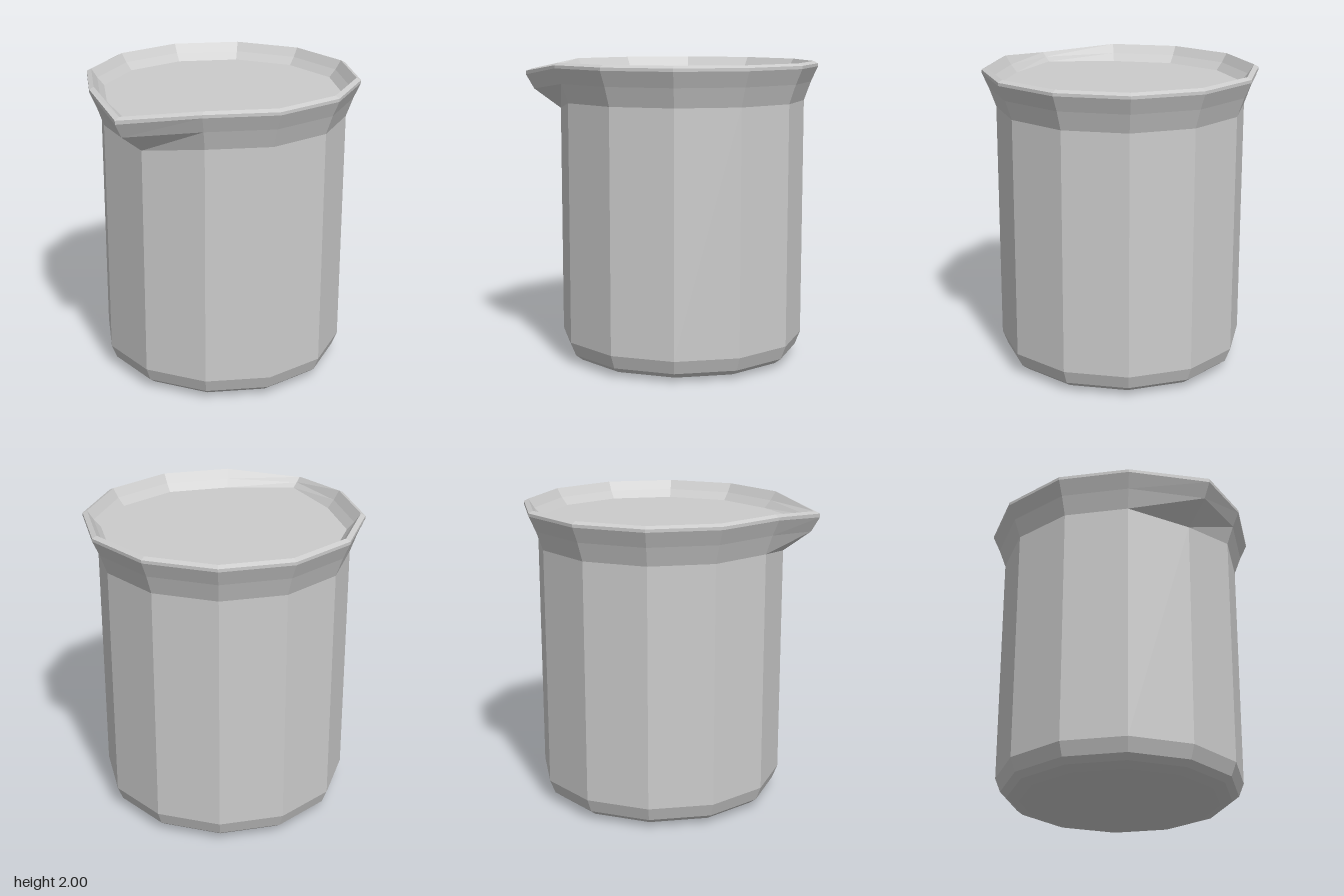
import * as THREE from 'three';

const SIDES = 12;
const CENTER_Z = -0.07;

// One twelve-sided ring; the front corner may be pulled out into the spout.
function ring([r, y, spoutR = r, spoutY = y]) {
  return Array.from({ length: SIDES }, (_, i) => {
    const a = (i / SIDES) * Math.PI * 2;
    const rad = i === 0 ? spoutR : r;
    return new THREE.Vector3(Math.sin(a) * rad, i === 0 ? spoutY : y, Math.cos(a) * rad + CENTER_Z);
  });
}

// Flat-shaded mesh from a list of triangle corners.
function facetedMesh(name, points) {
  const geometry = new THREE.BufferGeometry().setFromPoints(points);
  geometry.computeVertexNormals();
  const mesh = new THREE.Mesh(geometry, new THREE.MeshStandardMaterial({
    color: 0xcccccc, flatShading: true, side: THREE.DoubleSide,
  }));
  mesh.name = name;
  return mesh;
}

// Joins successive rings with quads.
function loft(name, profile) {
  const rings = profile.map(ring);
  const points = [];
  for (let k = 0; k < rings.length - 1; k++) {
    for (let i = 0; i < SIDES; i++) {
      const j = (i + 1) % SIDES;
      const a = rings[k][i], b = rings[k][j], c = rings[k + 1][j], d = rings[k + 1][i];
      points.push(a, b, c, a, c, d);
    }
  }
  return facetedMesh(name, points);
}

// Fills a ring with a flat fan, facing up or down.
function disc(name, section, up) {
  const edge = ring(section);
  const middle = new THREE.Vector3(0, section[1], CENTER_Z);
  const points = [];
  edge.forEach((p, i) => {
    const q = edge[(i + 1) % SIDES];
    points.push(middle, up ? p : q, up ? q : p);
  });
  return facetedMesh(name, points);
}

export function createModel() {
  const model = new THREE.Group();
  model.name = 'beaker';

  // Sections: radius, height, spout radius, spout height
  const base = [0.66, 0];
  const shoulder = [0.82, 1.74, 0.82, 1.68];
  const lip = [0.88, 2.0, 1.015, 1.945];
  const fill = [0.795, 1.89, 0.93, 1.89];

  model.add(
    // Bevelled foot and straight wall
    loft('body', [base, [0.74, 0.025], [0.785, 0.06], [0.82, 0.15], shoulder]),
    // Flared rim with pouring spout
    loft('rim', [shoulder, [0.865, 1.865, 1.0, 1.81], [0.91, 1.965, 1.055, 1.905],
      [0.91, 1.985, 1.055, 1.93], lip]),
    // Inside of the rim down to the contents
    loft('innerRim', [lip, [0.84, 1.94, 0.975, 1.918], fill]),
    disc('contents', fill, true),
    disc('bottom', base, false),
  );
  return model;
}
